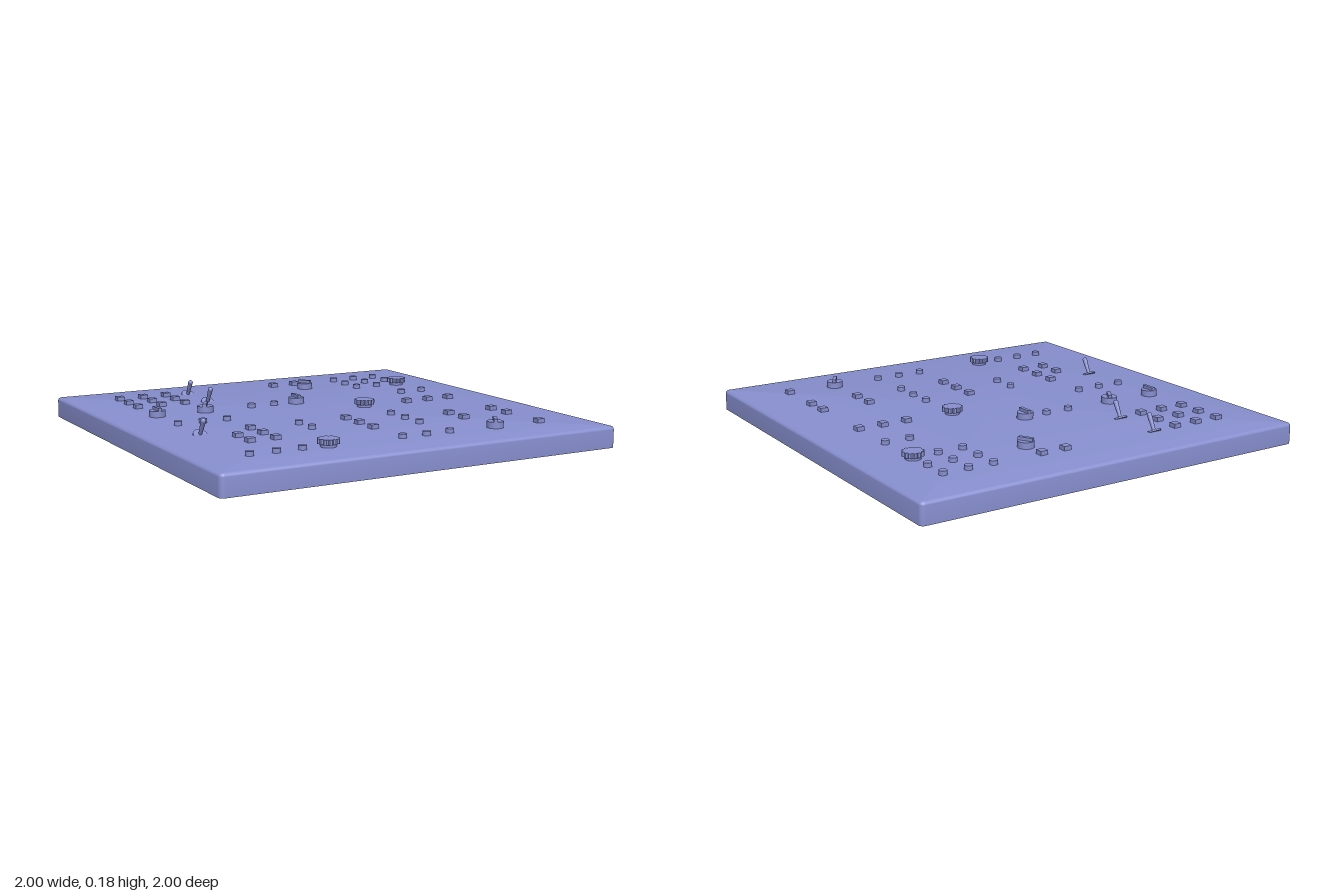
import * as THREE from 'three';
import { toCreasedNormals } from 'three/addons/utils/BufferGeometryUtils.js';

const TOP = 0.1;      // height of the panel face
const PITCH = 0.125;  // spacing of the control grid
const material = new THREE.MeshStandardMaterial({ color: 0x8890d0, side: THREE.DoubleSide });

// Control layout: S square button, O round button, G toothed dial, T toggle,
// K / L / R pointer knobs turned to different angles
const LAYOUT = [
  'SSST...SS.OOO',
  'SSS.....L.OOO',
  'SSST......OOG',
  '.............',
  'K.R.OOK....OO',
  '.............',
  'OOO.....G.SSS',
  '.............',
  'T.S.O.S.O....',
  '.SS.O.S.O.S.S',
  '.SS...S.O.S.S',
  '.............',
  'OOOG..OOO.R.S',
];
const KNOB_ANGLE = { K: 0, L: Math.PI / 6, R: -Math.PI / 6 };

function part(name, geometry, y = 0) {
  const mesh = new THREE.Mesh(geometry, material);
  mesh.name = name;
  mesh.position.y = y;
  return mesh;
}

function group(name, ...children) {
  const g = new THREE.Group();
  g.name = name;
  g.add(...children);
  return g;
}

// Open-bottomed tray: rounded-square loops up the wall, over the edge and in to the centre
function panelGeometry() {
  const radius = 0.022, edge = 0.015, steps = 4;
  const levels = [[0, 0]];
  for (let i = 0; i <= 4; i++) {
    const a = (i / 4) * Math.PI / 2;
    levels.push([edge * (1 - Math.cos(a)), TOP - edge + edge * Math.sin(a)]);
  }
  const positions = [], index = [], n = 4 * (steps + 1);
  for (const [inset, y] of levels) {
    for (let c = 0; c < 4; c++) {
      const mid = (c + 0.5) * Math.PI / 2;
      for (let s = 0; s <= steps; s++) {
        const a = (c + s / steps) * Math.PI / 2;
        positions.push(
          Math.sign(Math.cos(mid)) * (1 - radius) + Math.cos(a) * (radius - inset), y,
          Math.sign(Math.sin(mid)) * (1 - radius) + Math.sin(a) * (radius - inset));
      }
    }
  }
  const centre = positions.length / 3;
  positions.push(0, TOP, 0);
  for (let l = 0; l < levels.length; l++) {
    for (let i = 0; i < n; i++) {
      const a = l * n + i, b = l * n + (i + 1) % n;
      if (l === levels.length - 1) index.push(a, centre, b);
      else index.push(a, a + n, b, b, a + n, b + n);
    }
  }
  const g = new THREE.BufferGeometry();
  g.setAttribute('position', new THREE.Float32BufferAttribute(positions, 3));
  g.setIndex(index);
  return toCreasedNormals(g, 0.6);
}

// Toothed disc for the dials
function toothedGeometry(teeth, outer, inner, height) {
  const shape = new THREE.Shape();
  for (let i = 0; i < teeth; i++) {
    [[0, inner], [0.3, outer], [0.7, outer], [0.99, inner]].forEach(([t, r], k) => {
      const a = ((i + t) / teeth) * Math.PI * 2;
      shape[i + k ? 'lineTo' : 'moveTo'](r * Math.cos(a), r * Math.sin(a));
    });
  }
  shape.closePath();
  return new THREE.ExtrudeGeometry(shape, { depth: height, bevelEnabled: false }).rotateX(-Math.PI / 2);
}

// Shared control geometries; bodies pass through the panel face
const squareGeo = new THREE.BoxGeometry(0.038, 0.04, 0.038);
const roundGeo = new THREE.CylinderGeometry(0.019, 0.019, 0.04, 20);
const knobGeo = new THREE.CylinderGeometry(0.039, 0.039, 0.07, 32);
const ridgeGeo = new THREE.BoxGeometry(0.018, 0.03, 0.072);
const dialStemGeo = new THREE.CylinderGeometry(0.036, 0.036, 0.06, 28);
const dialGeo = toothedGeometry(12, 0.05, 0.043, 0.023);
const collarGeo = new THREE.CylinderGeometry(0.033, 0.033, 0.008, 28);
const leverGeo = new THREE.CylinderGeometry(0.012, 0.008, 0.077, 16);
const tipGeo = new THREE.SphereGeometry(0.0125, 16, 12);

function createKnob(angle) {
  const knob = group('pointerKnob', part('knobBody', knobGeo, -0.005), part('knobRidge', ridgeGeo, 0.03));
  knob.rotation.y = angle;
  return knob;
}

function createDial() {
  return group('toothedDial', part('dialStem', dialStemGeo, -0.01), part('dialRim', dialGeo, 0.014));
}

// Lever and collar lean forward together
function createToggle() {
  const toggle = group('toggleSwitch',
    part('toggleCollar', collarGeo), part('toggleLever', leverGeo, 0.0385), part('toggleTip', tipGeo, 0.077));
  toggle.rotation.x = 0.5;
  return toggle;
}

function createControl(code) {
  if (code === 'S') return part('squareButton', squareGeo);
  if (code === 'O') return part('roundButton', roundGeo);
  if (code === 'G') return createDial();
  if (code === 'T') return createToggle();
  return createKnob(KNOB_ANGLE[code]);
}

export function createModel() {
  const model = group('controlPanel', part('panelShell', panelGeometry()));

  // Place every control on the grid
  LAYOUT.forEach((row, r) => {
    [...row].forEach((code, c) => {
      if (code === '.') return;
      const control = createControl(code);
      control.position.set((c - 6) * PITCH, TOP, (r - 6) * PITCH);
      model.add(control);
    });
  });
  return model;
}
